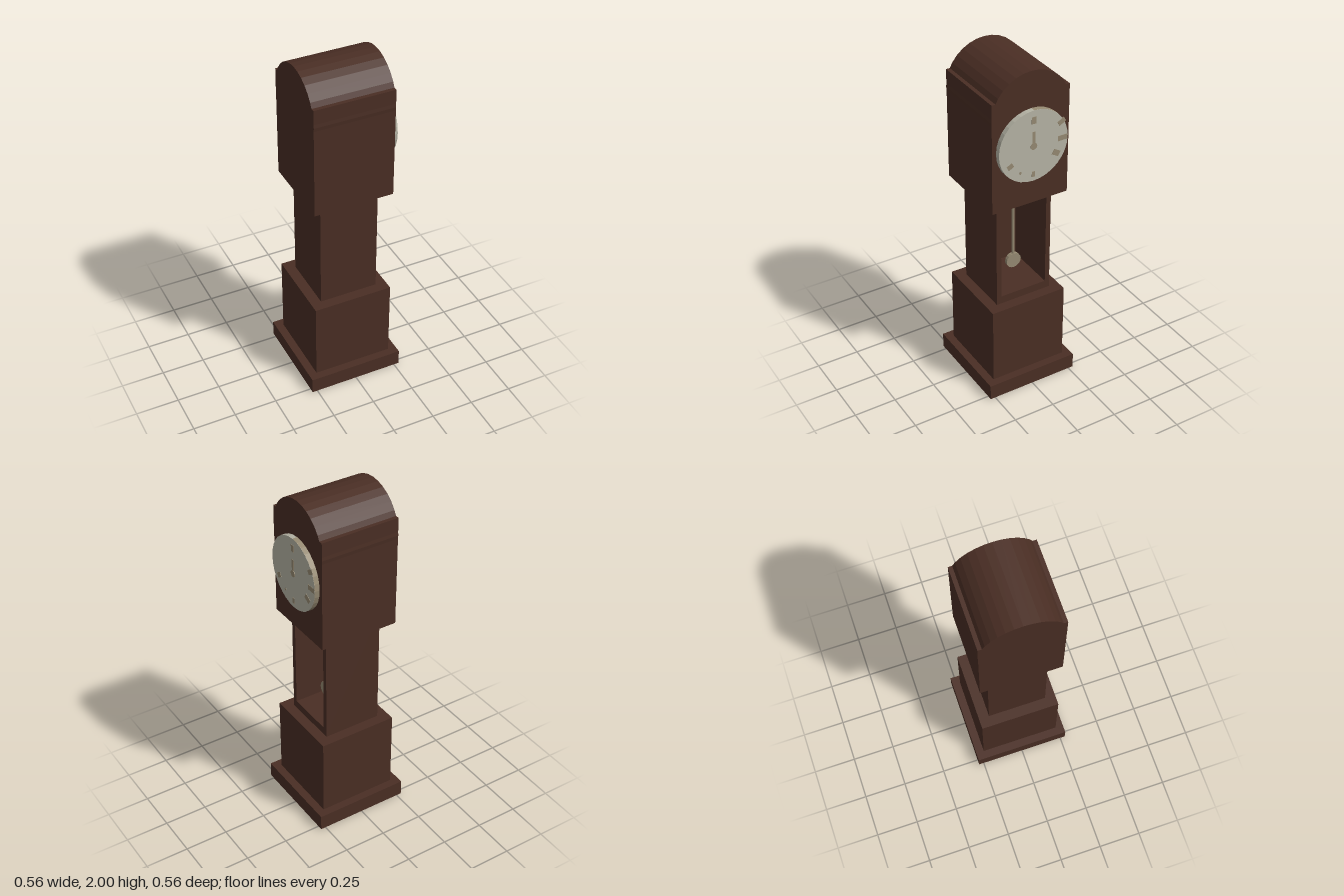
import * as THREE from 'three';

export function createModel() {
  const clock = new THREE.Group();
  clock.name = 'longcaseClock';

  const mat = (name, color) => {
    const m = new THREE.MeshStandardMaterial({ color, flatShading: true });
    m.name = name;
    return m;
  };
  const wood = mat('darkWood', 0x4a2e24);
  const ivory = mat('ivory', 0xb6b4a5);
  const brass = mat('agedBrass', 0x968a72);

  const add = (name, geometry, material, x = 0, y = 0, z = 0) => {
    const mesh = new THREE.Mesh(geometry, material);
    mesh.name = name;
    mesh.position.set(x, y, z);
    clock.add(mesh);
    return mesh;
  };
  // square block centred on the axis, between two heights
  const block = (name, half, y0, y1) =>
    add(name, new THREE.BoxGeometry(half * 2, y1 - y0, half * 2), wood, 0, (y0 + y1) / 2, 0);
  // disc or drum whose axis runs along x
  const drum = (name, r, x0, x1, y, material, sides = 32) =>
    add(name, new THREE.CylinderGeometry(r, r, x1 - x0, sides).rotateZ(-Math.PI / 2), material, (x0 + x1) / 2, y, 0);

  // Case
  block('foot', 0.28, 0, 0.093);
  block('plinth', 0.233, 0.093, 0.563);
  block('hood', 0.233, 1.218, 1.868);
  drum('archedTop', 0.235, -0.233, 0.233, 1.765, wood);

  // Hollow trunk, open towards +x, with a back panel
  const T = 0.172, back = 0.028;
  const rect = (path, w, y0, y1) =>
    path.moveTo(-w, y0).lineTo(w, y0).lineTo(w, y1).lineTo(-w, y1).closePath();
  const walls = rect(new THREE.Shape(), T, 0.563, 1.218);
  walls.holes.push(rect(new THREE.Path(), 0.143, 0.61, 1.17));
  const trunk = new THREE.ExtrudeGeometry(walls, { depth: 2 * T - back, bevelEnabled: false });
  add('trunk', trunk.rotateY(Math.PI / 2), wood, -T + back);
  add('trunkBack', new THREE.BoxGeometry(back, 0.655, 2 * T), wood, -T + back / 2, 0.8905, 0);

  // Pendulum
  add('pendulumRod', new THREE.CylinderGeometry(0.008, 0.008, 0.43, 8), brass, 0.06, 0.955, 0);
  drum('pendulumBob', 0.046, 0.05, 0.07, 0.743, brass, 16);

  // Dial, with a brass band on its -z half
  const dialY = 1.58, front = 0.262;
  drum('dial', 0.209, 0.233, front, dialY, ivory);
  const band = new THREE.CylinderGeometry(0.21, 0.21, front - 0.233, 16, 1, true, Math.PI / 2, Math.PI);
  add('dialBand', band.rotateZ(-Math.PI / 2), brass, (0.233 + front) / 2, dialY, 0);

  // Hour marks: [hour, radius, width, length]
  const marks = [
    [12, 0.152, 0.028, 0.04], [2, 0.195, 0.028, 0.045], [3, 0.178, 0.03, 0.06],
    [4, 0.16, 0.032, 0.045], [6, 0.168, 0.02, 0.032], [7, 0.16, 0.012, 0.014],
    [8, 0.163, 0.028, 0.035],
  ];
  for (const [hour, r, w, len] of marks) {
    const a = (hour / 12) * Math.PI * 2;
    const mark = add('hourMark', new THREE.BoxGeometry(0.004, len, w), brass,
      front, dialY + Math.cos(a) * r, -Math.sin(a) * r);
    mark.rotation.x = -a;
  }
  add('hand', new THREE.BoxGeometry(0.004, 0.085, 0.018), brass, front, dialY + 0.0425, 0);
  drum('handHub', 0.02, front - 0.002, front + 0.003, dialY, brass, 12);

  // Pale sliver under the foot along its +z edge
  const sliver = new THREE.Shape();
  sliver.moveTo(0.28, 0.28).lineTo(-0.28, 0.28).lineTo(-0.28, 0.23).lineTo(0.1, 0.23).closePath();
  add('footUnderside', new THREE.ShapeGeometry(sliver).rotateX(Math.PI / 2), ivory, 0, -0.001, 0);

  return clock;
}
